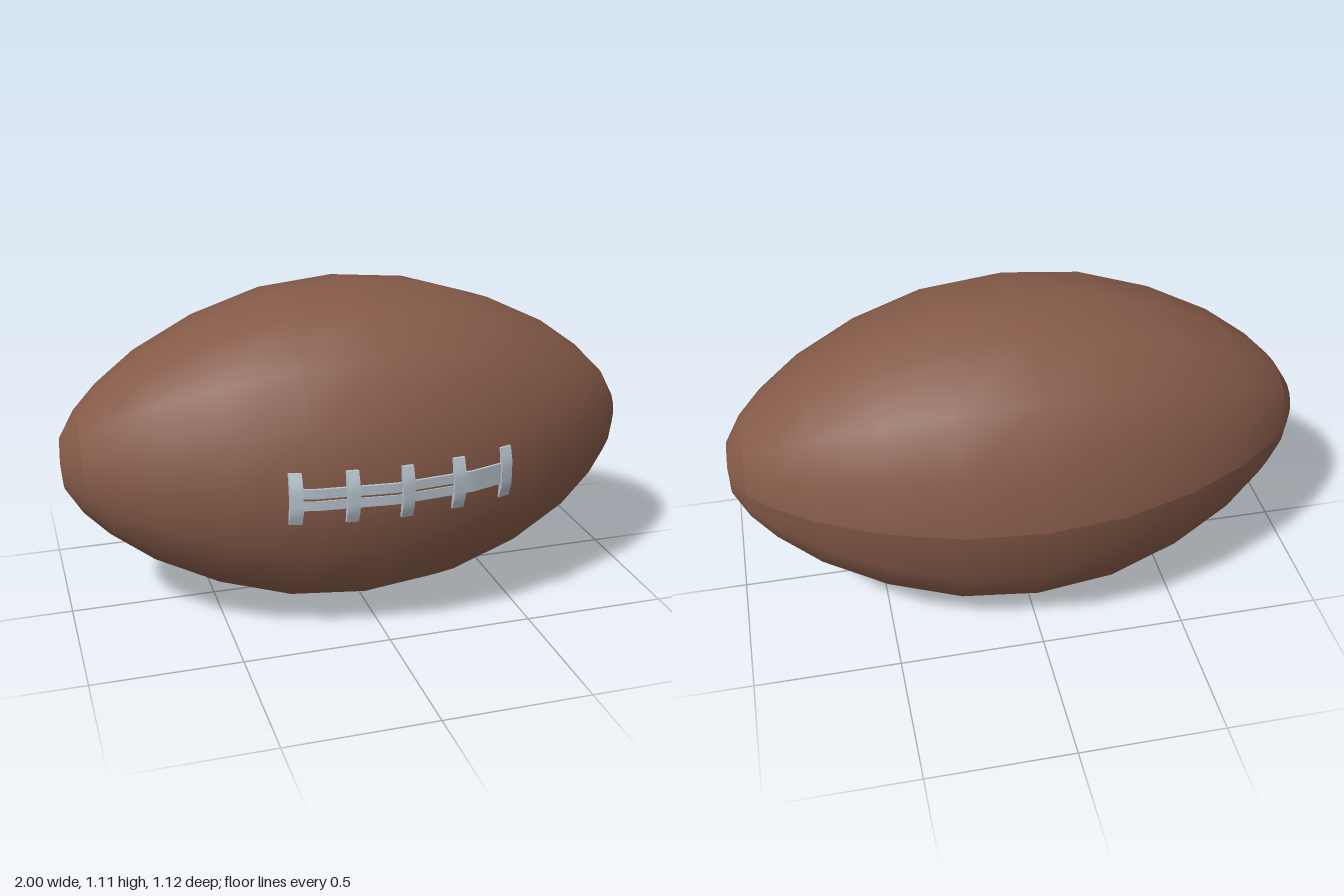
import * as THREE from 'three';
import { toCreasedNormals } from 'three/addons/utils/BufferGeometryUtils.js';

const CY = 0.557, CZ = -0.007;
// half profile: distance along the length, radius
const PROFILE = [[0, 0.555], [0.265, 0.53], [0.51, 0.455], [0.72, 0.352], [0.86, 0.25], [0.94, 0.17], [0.993, 0.085], [1, 0]];

function radiusAt(x) {
  const a = Math.abs(x);
  for (let i = 1; i < PROFILE.length; i++) {
    const [x0, r0] = PROFILE[i - 1], [x1, r1] = PROFILE[i];
    if (a <= x1) return r0 + (r1 - r0) * (a - x0) / (x1 - x0);
  }
  return 0;
}

// sixteen-sided shell round the x axis, with its seam along the back
function shell(points) {
  const g = new THREE.LatheGeometry(points.map(([x, r]) => new THREE.Vector2(r, x)), 16, Math.PI);
  g.rotateZ(-Math.PI / 2);
  const p = g.attributes.position;
  for (let i = 0; i < p.count; i++) {
    // slightly fuller on the diagonals
    const a = Math.atan2(p.getY(i), p.getZ(i));
    const k = 1 + 0.03 * Math.sin(2 * a) ** 2;
    p.setXYZ(i, p.getX(i), p.getY(i) * k, p.getZ(i) * k);
  }
  g.computeVertexNormals();
  return g;
}

// box wrapped over the front of the ball, with its outer face raised by lift
function wrapped(x, y, w, h, lift, segX, segY) {
  const depth = 0.03;
  const g = new THREE.BoxGeometry(w, h, depth, segX, segY, 1);
  g.translate(x, y, lift - depth / 2);
  const p = g.attributes.position;
  for (let i = 0; i < p.count; i++) {
    const drop = Math.max(0, Math.abs(p.getY(i)) - 0.04) * 0.4;
    p.setZ(i, p.getZ(i) + radiusAt(p.getX(i)) - 0.008 - drop);
  }
  return toCreasedNormals(g, 0.5);
}

export function createModel() {
  const leather = new THREE.MeshStandardMaterial({ color: 0x855a48 });
  leather.name = 'brownLeather';
  const lace = new THREE.MeshStandardMaterial({ color: 0xb4c0ca });
  lace.name = 'paleGreyLace';

  const model = new THREE.Group();
  model.name = 'ball';
  const add = (name, geometry, material) => {
    const m = new THREE.Mesh(geometry, material);
    m.name = name;
    m.position.set(0, CY, CZ);
    model.add(m);
  };

  // body and the two blunt tips
  const mirror = (pts) => pts.map(([x, r]) => [-x, r]).reverse();
  const half = PROFILE.slice(0, 6), tip = PROFILE.slice(5);
  add('body', shell([...mirror(half.slice(1)), ...half]), leather);
  add('leftTip', shell(tip), leather);
  add('rightTip', shell(mirror(tip)), leather);

  // long laces: two strands, joined into one at the left end
  for (const s of [-1, 1]) add('longLace', wrapped(-0.04, s * 0.02, 0.56, 0.032, 0.012, 16, 1), lace);
  add('laceEnd', wrapped(0.32, 0, 0.16, 0.072, 0.012, 6, 1), lace);

  // cross laces
  for (let i = 0; i < 5; i++) add('crossLace', wrapped(-0.32 + i * 0.179, 0, 0.04, 0.175, 0.024, 2, 8), lace);

  return model;
}
